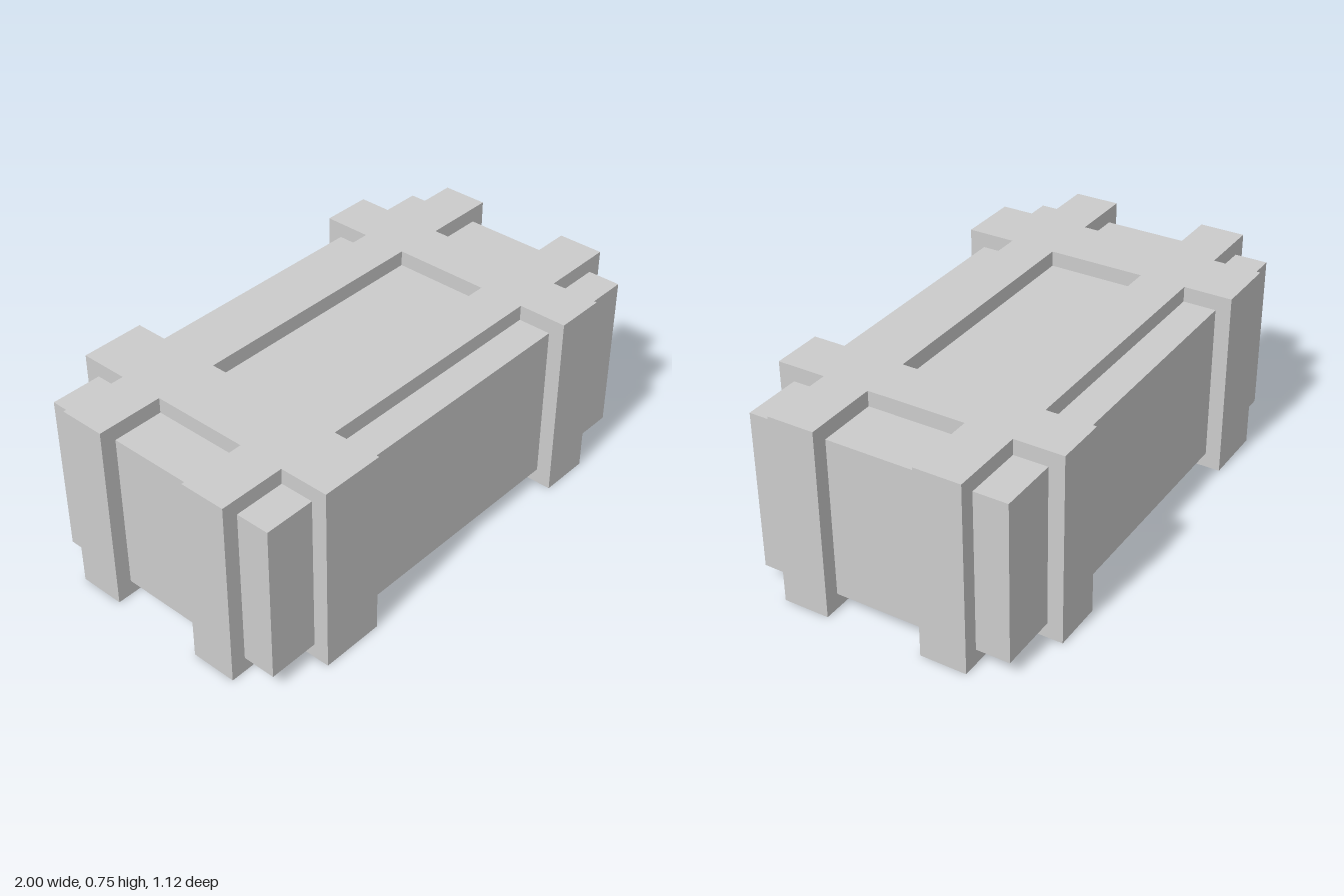
import * as THREE from 'three';

const HEIGHT = 0.745;
const LIP = 0.06; // how far the straps stand proud of the body
const HALF_X = 1, HALF_Z = 0.56;
const crossStraps = [[-0.74, -0.49], [0.505, 0.705]]; // x ranges
const longStraps = [[-0.37, -0.19], [0.19, 0.37]]; // z ranges

// Plan of the two pairs of crossing straps, with the opening between them
function strapPlan() {
  const [[a, b], [c, d]] = crossStraps;
  const [[e, f], [g, h]] = longStraps;
  const X = HALF_X, Z = HALF_Z;
  const points = (list) => list.map(([x, z]) => new THREE.Vector2(x, z));
  const plan = new THREE.Shape(points([
    [a, -Z], [b, -Z], [b, e], [c, e], [c, -Z], [d, -Z], [d, e],
    [X, e], [X, f], [d, f], [d, g], [X, g], [X, h], [d, h],
    [d, Z], [c, Z], [c, h], [b, h], [b, Z], [a, Z], [a, h],
    [-X, h], [-X, g], [a, g], [a, f], [-X, f], [-X, e], [a, e],
  ]));
  plan.holes.push(new THREE.Path(points([[b, f], [b, g], [c, g], [c, f]])));
  return plan;
}

export function createModel() {
  const group = new THREE.Group();
  group.name = 'strappedCrate';
  const material = new THREE.MeshStandardMaterial({ color: 0xcccccc, flatShading: true });

  // Recessed crate body
  const body = new THREE.Mesh(
    new THREE.BoxGeometry(2 * (HALF_X - LIP), HEIGHT - 2 * LIP, 2 * (HALF_Z - LIP)),
    material
  );
  body.name = 'crateBody';
  body.position.y = HEIGHT / 2;

  // Straps wrapping the body, joined flush where they cross
  const strapGeometry = new THREE.ExtrudeGeometry(strapPlan(), { depth: HEIGHT, bevelEnabled: false });
  strapGeometry.rotateX(-Math.PI / 2);
  const straps = new THREE.Mesh(strapGeometry, material);
  straps.name = 'crossedStraps';

  group.add(body, straps);
  return group;
}
